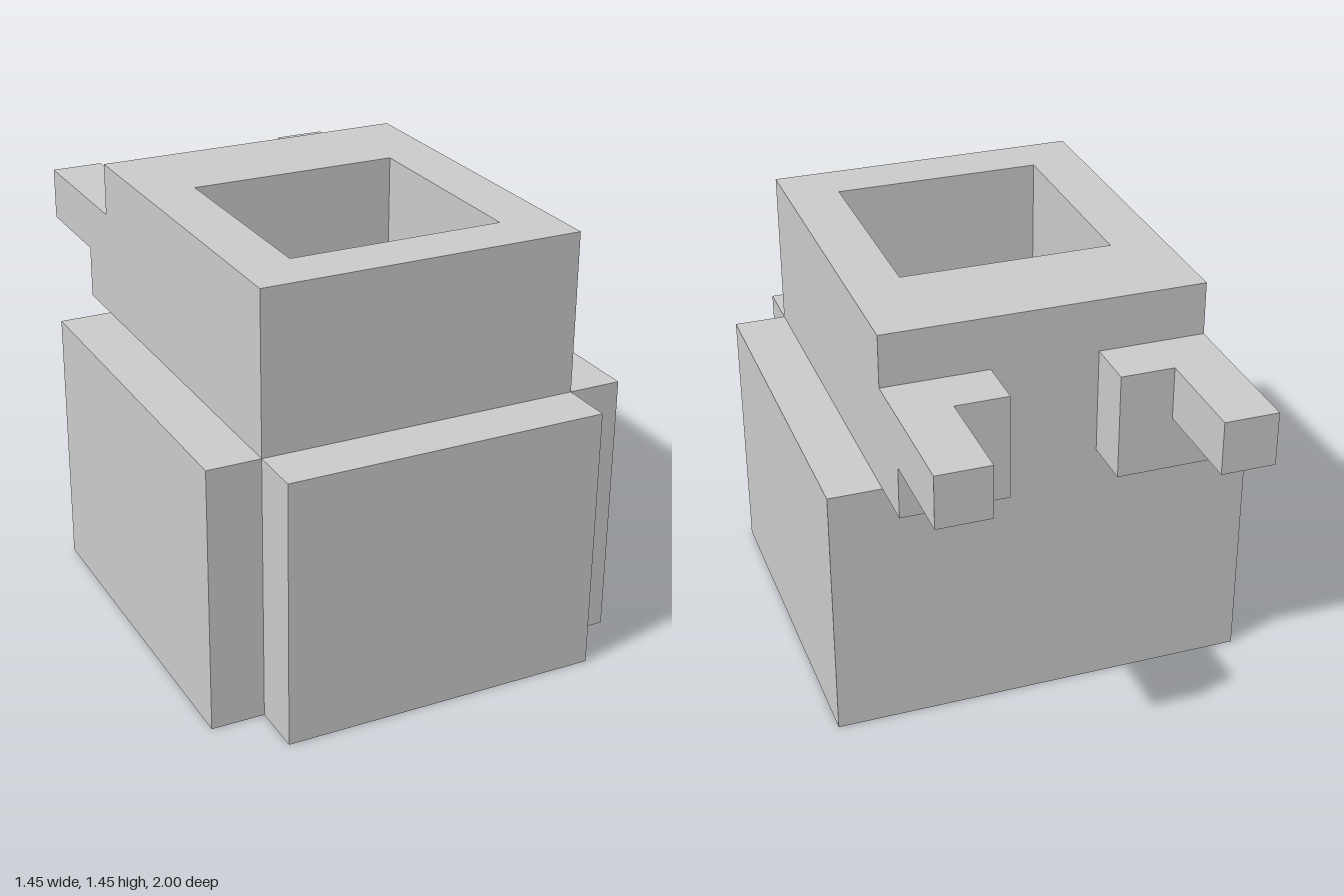
import * as THREE from 'three';

const U = 2 / 11; // one grid block

export function createModel() {
  const model = new THREE.Group();
  model.name = 'backpack';
  const material = new THREE.MeshStandardMaterial({ color: 0xcccccc, flatShading: true });

  const add = (name, geometry) => {
    const mesh = new THREE.Mesh(geometry, material);
    mesh.name = name;
    model.add(mesh);
  };

  // Box between two corners, measured in blocks
  const box = (name, [x0, y0, z0], [x1, y1, z1]) => {
    const g = new THREE.BoxGeometry((x1 - x0) * U, (y1 - y0) * U, (z1 - z0) * U);
    g.translate((x0 + x1) / 2 * U, (y0 + y1) / 2 * U, (z0 + z1) / 2 * U);
    add(name, g);
  };

  // Rectangle in plan; shape y becomes -z once the extrusion is stood up
  const rect = (Type, x, zBack, zFront) => new Type([
    [-x, -zFront], [x, -zFront], [x, -zBack], [-x, -zBack],
  ].map(([a, b]) => new THREE.Vector2(a * U, b * U)));

  // Hollow main bag: thin front and sides, thick back, closed floor
  const plan = rect(THREE.Shape, 3, -2.5, 4.5);
  plan.holes.push(rect(THREE.Path, 2, -0.5, 3.5));
  const walls = new THREE.ExtrudeGeometry(plan, { depth: 7 * U, bevelEnabled: false });
  walls.rotateX(-Math.PI / 2);
  walls.translate(0, U, 0);
  add('bagWalls', walls);
  box('bagFloor', [-3, 0, -2.5], [3, 1, 4.5]);

  // Pockets
  box('frontPocket', [-3, 0, 4.5], [3, 5, 5.5]);
  box('leftPocket', [3, 0, -2.5], [4, 5, 4.5]);
  box('rightPocket', [-4, 0, -2.5], [-3, 5, 4.5]);

  // Shoulder hooks on the back
  for (const [side, s] of [['left', 1], ['right', -1]]) {
    const span = (a, b) => (s > 0 ? [a, b] : [-b, -a]);
    const [b0, b1] = span(1, 3);
    box(side + 'HookBase', [b0, 5, -3.5], [b1, 7, -2.5]);
    const [a0, a1] = span(2, 3);
    box(side + 'HookArm', [a0, 6, -5.5], [a1, 7, -3.5]);
  }

  return model;
}
